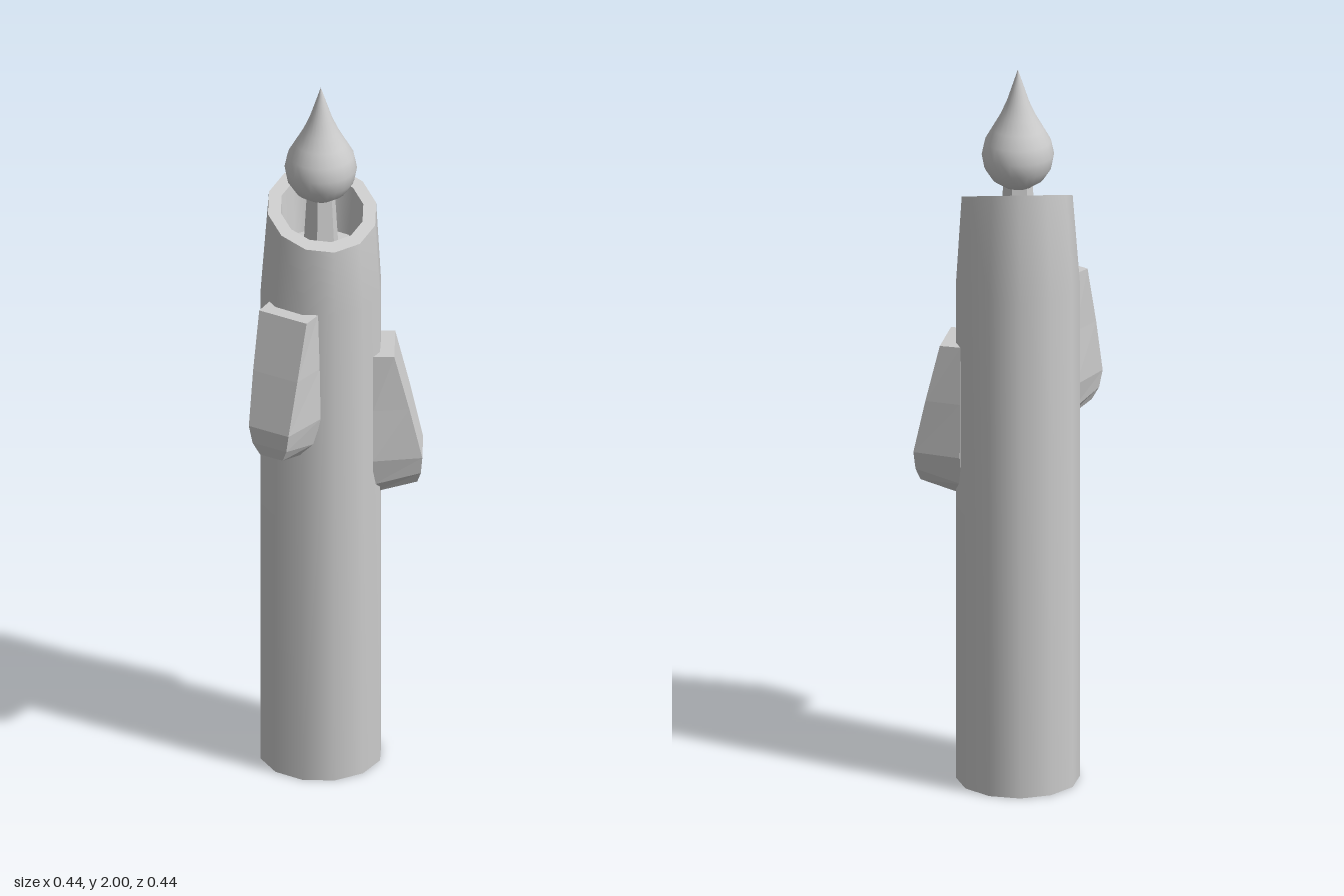
import * as THREE from 'three';

const CX = -0.06, CZ = -0.057; // candle axis

export function createModel() {
  const model = new THREE.Group();
  model.name = 'candle';
  const wax = new THREE.MeshStandardMaterial({ color: 0xcccccc });
  wax.name = 'pale grey wax';

  const add = (geometry, name, parent) => {
    const mesh = new THREE.Mesh(geometry, wax);
    mesh.name = name;
    parent.add(mesh);
    return mesh;
  };

  // Everything round is turned about the candle axis
  const candle = new THREE.Group();
  candle.name = 'candleBody';
  candle.position.set(CX, 0, CZ);
  model.add(candle);

  const turn = (profile, sides) => new THREE.LatheGeometry(
    profile.map(([r, y]) => new THREE.Vector2(r, y)), sides, THREE.MathUtils.degToRad(-5));

  // Slant the points of the top rim so that it dips to the front left
  const slant = (geometry) => {
    const p = geometry.attributes.position;
    for (let i = 0; i < p.count; i++) {
      if (p.getY(i) < 1.6) continue;
      const x = p.getX(i), z = p.getZ(i);
      p.setXYZ(i, x + 0.005, p.getY(i) - 0.16 * x - 0.34 * z, z + 0.007);
    }
    return geometry;
  };

  add(slant(turn([[0.164, 0], [0.164, 1.4], [0.147, 1.64]], 12)), 'candleWall', candle);
  add(turn([[0, 0], [0.164, 0]], 12), 'candleBase', candle);
  const rim = slant(turn([[0.147, 1.64], [0.112, 1.64]], 12));
  rim.computeVertexNormals();
  add(rim, 'candleRim', candle);
  add(slant(turn([[0.112, 1.64], [0.1, 1.52]], 12)), 'hollowWall', candle);
  add(turn([[0.1, 1.52], [0, 1.52]], 12), 'hollowFloor', candle);

  // Wick
  const wickShape = new THREE.CylinderGeometry(0.038, 0.05, 0.2, 6).toNonIndexed();
  wickShape.computeVertexNormals();
  add(wickShape, 'wick', candle).position.y = 1.6;

  // Teardrop flame
  add(turn([[0, 1.665], [0.036, 1.672], [0.068, 1.693], [0.089, 1.725], [0.096, 1.762],
    [0.088, 1.8], [0.068, 1.835], [0.048, 1.87], [0.03, 1.91], [0.015, 1.955], [0, 2]], 24),
  'flame', candle);

  // Wax drip: lofted four-sided sections, wide at the candle and narrower outside
  // [inner y, inner half width, outer y, outer half width, outer radius]
  const sections = [
    [-0.43, 0.03, -0.395, 0.035, 0.256],
    [-0.39, 0.064, -0.36, 0.052, 0.266],
    [-0.31, 0.083, -0.31, 0.061, 0.27],
    [-0.16, 0.08, -0.16, 0.068, 0.236],
    [0, 0.075, 0, 0.073, 0.196],
  ];
  const points = [], faces = [];
  sections.forEach(([yi, wi, yo, wo, r], s) => {
    points.push(-wi, yi, 0.14, -wo, yo, r, wo, yo, r, wi, yi, 0.14);
    if (s === 0) return;
    for (let k = 0; k < 4; k++) {
      const a = (s - 1) * 4 + k, b = (s - 1) * 4 + (k + 1) % 4;
      faces.push(a, b, b + 4, a, b + 4, a + 4);
    }
  });
  const top = (sections.length - 1) * 4;
  faces.push(0, 2, 1, 0, 3, 2, top, top + 1, top + 2, top, top + 2, top + 3);
  let drip = new THREE.BufferGeometry();
  drip.setAttribute('position', new THREE.Float32BufferAttribute(points, 3));
  drip.setIndex(faces);
  drip = drip.toNonIndexed();
  drip.computeVertexNormals();

  [['frontDrip', -18.7, 1.4], ['leftDrip', 101, 1.23]].forEach(([name, angle, y]) => {
    const mesh = add(drip, name, candle);
    mesh.position.y = y;
    mesh.rotation.y = THREE.MathUtils.degToRad(angle);
  });

  return model;
}
